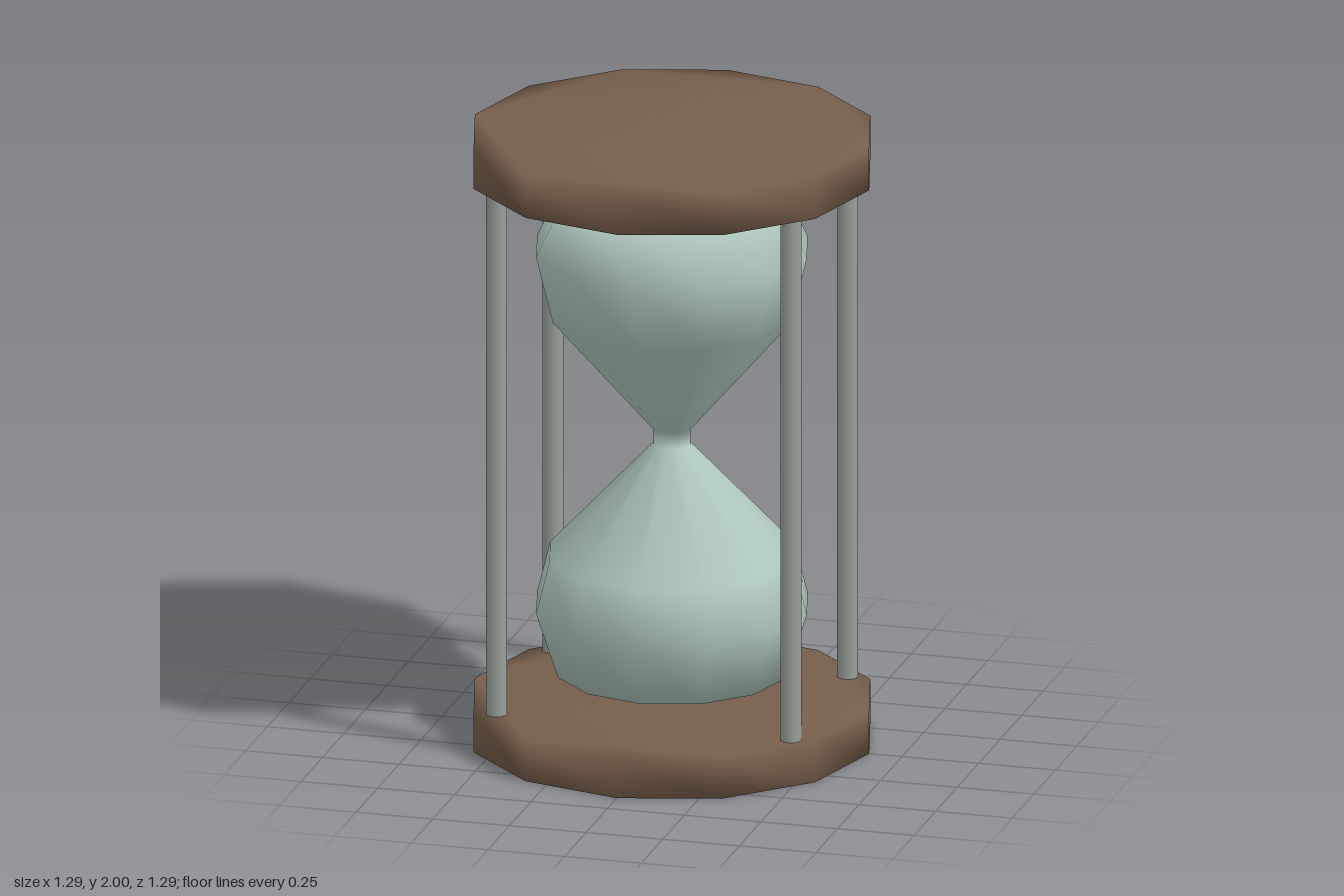
import * as THREE from 'three';
import { mergeVertices } from 'three/addons/utils/BufferGeometryUtils.js';

const SIDES = 12;
const HEIGHT = 2;
const PLATE_RADIUS = 0.643;
const PLATE_THICKNESS = 0.137;

const wood = new THREE.MeshStandardMaterial({ color: 0x765e4b });
const metal = new THREE.MeshStandardMaterial({ color: 0x98a099 });
const glass = new THREE.MeshStandardMaterial({ color: 0xaec6bc });

function addMesh(group, name, geometry, material, x = 0, y = 0, z = 0) {
  const mesh = new THREE.Mesh(geometry, material);
  mesh.name = name;
  mesh.position.set(x, y, z);
  group.add(mesh);
}

// Twelve-sided disc whose shading runs smoothly over the rim
function plateGeometry() {
  const corners = [];
  for (let i = 0; i < SIDES; i++) {
    const a = (i / SIDES) * Math.PI * 2;
    corners.push(new THREE.Vector2(Math.cos(a), Math.sin(a)).multiplyScalar(PLATE_RADIUS));
  }
  const geometry = new THREE.ExtrudeGeometry(new THREE.Shape(corners), {
    depth: PLATE_THICKNESS, bevelEnabled: false,
  });
  geometry.rotateX(-Math.PI / 2);
  geometry.deleteAttribute('normal');
  geometry.deleteAttribute('uv');
  const smooth = mergeVertices(geometry);
  smooth.computeVertexNormals();
  return smooth;
}

export function createModel() {
  const model = new THREE.Group();
  model.name = 'hourglass';

  // End plates
  const plate = plateGeometry();
  addMesh(model, 'bottomPlate', plate, wood);
  addMesh(model, 'topPlate', plate, wood, 0, HEIGHT - PLATE_THICKNESS, 0);

  // Two bulbs joined by a narrow neck, closed at both ends
  const profile = [
    [0, 0.225], [0.37, 0.225], [0.44, 0.44], [0.397, 0.61], [0.06, 0.97],
    [0.06, 1.02], [0.387, 1.4], [0.44, 1.62], [0.36, 1.785], [0, 1.785],
  ].map(([r, y]) => new THREE.Vector2(r, y));
  addMesh(model, 'glassBulbs', new THREE.LatheGeometry(profile, SIDES), glass);

  // Four posts between the plates
  const postLength = HEIGHT - 2 * PLATE_THICKNESS;
  const post = new THREE.CylinderGeometry(0.034, 0.034, postLength, SIDES);
  for (const [side, x] of [['Left', 0.48], ['Right', -0.48]]) {
    for (const [end, z] of [['front', 0.33], ['back', -0.33]]) {
      addMesh(model, `${end}${side}Post`, post, metal, x, HEIGHT / 2, z);
    }
  }

  return model;
}
